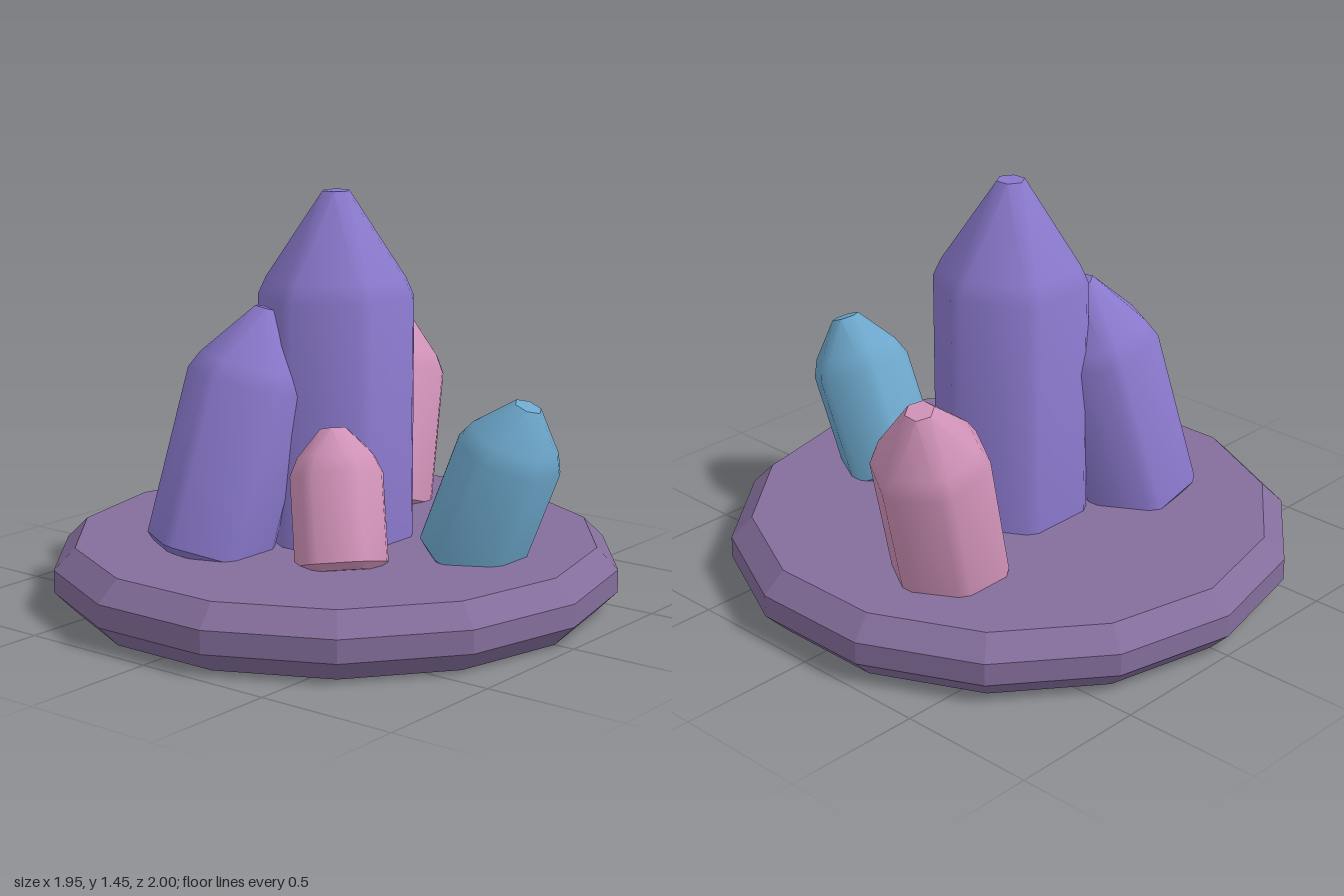
import * as THREE from 'three';
import { toCreasedNormals } from 'three/addons/utils/BufferGeometryUtils.js';

const BEVEL = 0.025;

// Hexagonal crystal with bevelled edges, standing on the origin and pointing up y.
// Each ring is [apothem, half width of each face, height].
function crystalGeometry(radius, length) {
  const a = radius * Math.cos(Math.PI / 6);
  const h = radius / 2 - BEVEL;
  const s = length * 0.73;
  const upper = a - BEVEL;
  const rings = [
    [a - BEVEL, h - 0.012, 0],
    [a, h, BEVEL],
    [a, h, s - BEVEL],
    [upper, (radius / 2) * (upper / a) - BEVEL, s + 0.038],
    [0.05, 0, length],
  ].map(([ap, half, y]) => {
    const points = [];
    for (let k = 0; k < 6; k++) {
      const t = k * Math.PI / 3;
      for (const e of [-half, half]) {
        points.push(new THREE.Vector3(
          ap * Math.sin(t) + e * Math.cos(t), y, ap * Math.cos(t) - e * Math.sin(t)));
      }
    }
    return points;
  });

  const positions = [];
  const triangle = (p, q, r) => {
    const area = q.clone().sub(p).cross(r.clone().sub(p)).length();
    if (area > 1e-7) for (const v of [p, q, r]) positions.push(v.x, v.y, v.z);
  };
  const bottom = new THREE.Vector3(0, 0, 0);
  const top = new THREE.Vector3(0, length, 0);
  for (let j = 0; j < 12; j++) {
    const n = (j + 1) % 12;
    for (let i = 0; i < rings.length - 1; i++) {
      triangle(rings[i][j], rings[i][n], rings[i + 1][n]);
      triangle(rings[i][j], rings[i + 1][n], rings[i + 1][j]);
    }
    triangle(bottom, rings[0][n], rings[0][j]);
    triangle(top, rings[4][j], rings[4][n]);
  }
  const geometry = new THREE.BufferGeometry();
  geometry.setAttribute('position', new THREE.Float32BufferAttribute(positions, 3));
  return toCreasedNormals(geometry, 0.75);
}

function material(name, color) {
  const m = new THREE.MeshStandardMaterial({ color });
  m.name = name;
  return m;
}

export function createModel() {
  const group = new THREE.Group();
  group.name = 'crystalCluster';

  const stone = material('dusky purple stone', 0x846e9c);
  const violet = material('violet crystal', 0x8a78cc);
  const pink = material('pink crystal', 0xd092b8);
  const blue = material('blue crystal', 0x6ca6ca);

  // Fourteen-sided bevelled base with flat facets
  const profile = [[0, 0], [0.925, 0], [1, 0.075], [1, 0.155], [0.925, 0.23], [0, 0.23]]
    .map(([x, y]) => new THREE.Vector2(x, y));
  const baseGeometry = new THREE.LatheGeometry(profile, 14).toNonIndexed();
  baseGeometry.computeVertexNormals();
  const base = new THREE.Mesh(baseGeometry, stone);
  base.name = 'base';
  group.add(base);

  // Crystals: name, material, radius, foot centre, tip centre
  const crystals = [
    ['centralCrystal', violet, 0.283, [0, 0.2, 0], [0, 1.445, 0]],
    ['backRightCrystal', violet, 0.232, [-0.415, 0.2, -0.24], [-0.215, 1.05, -0.125]],
    ['leftCrystal', pink, 0.212, [0.49, 0.2, -0.187], [0.704, 0.91, -0.266]],
    ['frontRightCrystal', pink, 0.17, [-0.295, 0.2, 0.26], [-0.195, 0.66, 0.145]],
    ['frontCrystal', blue, 0.194, [0.08, 0.2, 0.515], [0.105, 0.765, 0.735]],
  ];
  const up = new THREE.Vector3(0, 1, 0);
  for (const [name, mat, radius, foot, tip] of crystals) {
    const start = new THREE.Vector3(...foot);
    const axis = new THREE.Vector3(...tip).sub(start);
    const mesh = new THREE.Mesh(crystalGeometry(radius, axis.length()), mat);
    mesh.name = name;
    mesh.position.copy(start);
    mesh.quaternion.setFromUnitVectors(up, axis.normalize());
    group.add(mesh);
  }
  return group;
}
